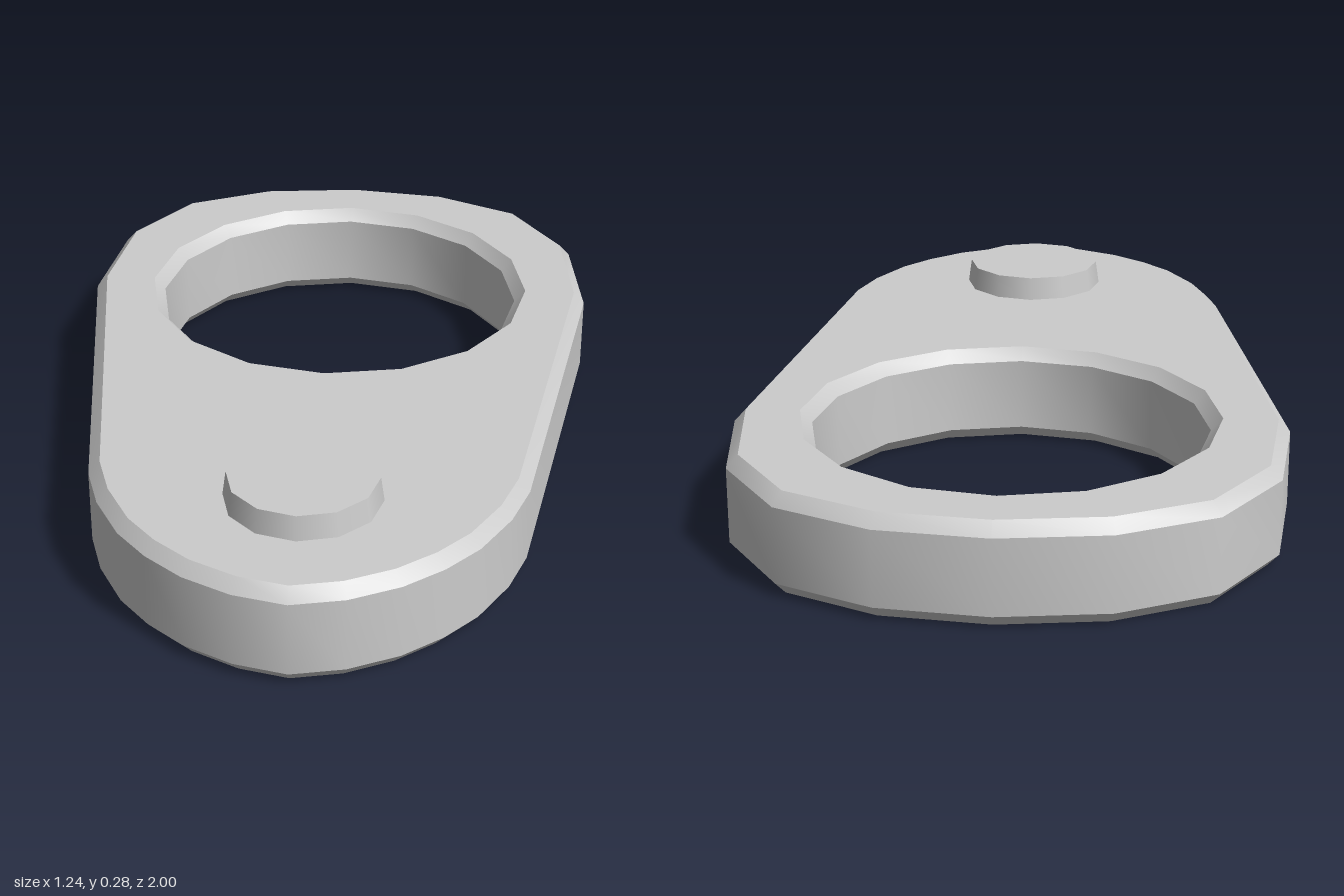
import * as THREE from 'three';
import { toCreasedNormals } from 'three/addons/utils/BufferGeometryUtils.js';

const HEIGHT = 0.228, BEVEL = 0.026, BEVEL_H = 0.029, CREASE = 0.65;
const RING_Z = -0.38, HOLE_R = 0.445, BUTTON_Z = 0.64;

export function createModel() {
  const group = new THREE.Group();
  const grey = new THREE.MeshStandardMaterial({ color: 0xcccccc });
  grey.name = 'light grey';

  // Egg-shaped outline: the +x half from back to front, then mirrored
  const half = [
    [0, -1], [0.243, -0.97], [0.455, -0.868], [0.587, -0.665], [0.62, -0.38],
    [0.482, 0.535], [0.444, 0.65], [0.38, 0.767], [0.31, 0.848],
    [0.225, 0.918], [0.117, 0.973], [0, 1],
  ];
  const mirrored = half.slice(1, -1).reverse().map(([x, z]) => [-x, z]);
  const outline = [...half, ...mirrored].map(([x, z]) => new THREE.Vector2(x, z));
  const shape = new THREE.Shape(outline);

  // Sixteen-sided round opening
  const hole = [];
  for (let i = 0; i < 16; i++) {
    const a = -i * Math.PI / 8;
    hole.push(new THREE.Vector2(HOLE_R * Math.cos(a), RING_Z + HOLE_R * Math.sin(a)));
  }
  shape.holes.push(new THREE.Path(hole));

  // Plate with chamfered rims, laid flat
  const plate = new THREE.ExtrudeGeometry(shape, {
    depth: HEIGHT - 2 * BEVEL_H,
    bevelEnabled: true,
    bevelSegments: 1,
    bevelThickness: BEVEL_H,
    bevelSize: BEVEL,
    bevelOffset: -BEVEL,
  });
  plate.rotateX(Math.PI / 2).translate(0, HEIGHT - BEVEL_H, 0);
  const body = new THREE.Mesh(toCreasedNormals(plate, CREASE), grey);
  body.name = 'plate';
  group.add(body);

  // Tapered button on the narrow end
  const buttonHeight = 0.056;
  const button = new THREE.Mesh(
    new THREE.CylinderGeometry(0.165, 0.173, buttonHeight, 12), grey);
  button.position.set(0, HEIGHT + buttonHeight / 2, BUTTON_Z);
  button.name = 'button';
  group.add(button);

  return group;
}
